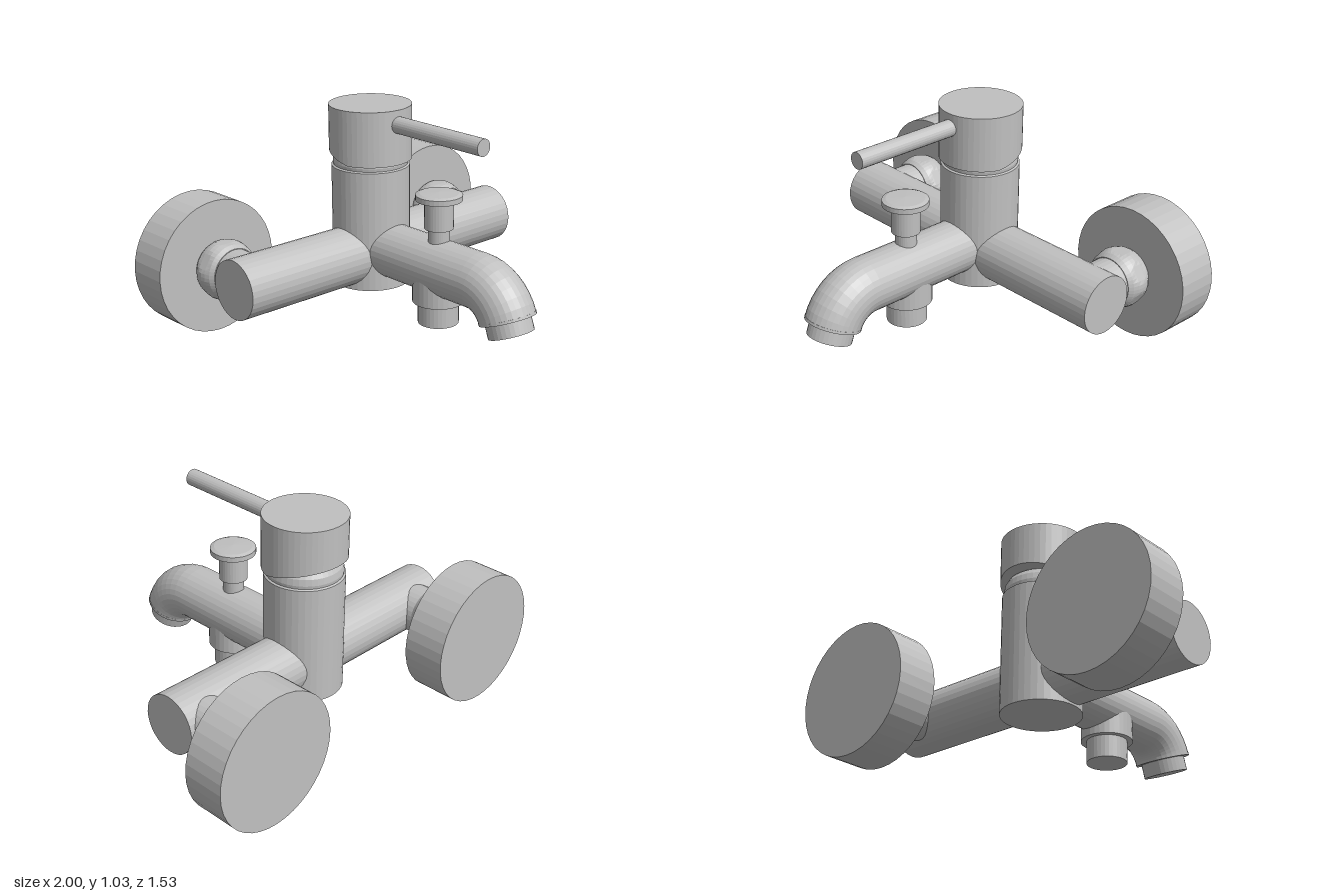
import * as THREE from 'three';

export function createModel() {
  const model = new THREE.Group();
  const chrome = new THREE.MeshStandardMaterial({ color: 0xc0c0c0 });
  const V = (x, y, z) => new THREE.Vector3(x, y, z);
  const UP = V(0, 1, 0);

  // Adds a mesh with crisp facets
  function add(name, geometry, parent = model) {
    const g = geometry.index ? geometry.toNonIndexed() : geometry;
    g.computeVertexNormals();
    const mesh = new THREE.Mesh(g, chrome);
    mesh.name = name;
    parent.add(mesh);
    return mesh;
  }

  // Closed cylinder running from point a to point b
  function rod(name, a, b, r, segments = 32, parent = model) {
    const dir = b.clone().sub(a);
    const mesh = add(name, new THREE.CylinderGeometry(r, r, dir.length(), segments), parent);
    mesh.position.copy(a).add(b).multiplyScalar(0.5);
    mesh.quaternion.setFromUnitVectors(UP, dir.normalize());
    return mesh;
  }

  function lathe(name, points, segments = 32, parent = model) {
    const profile = points.map(([r, y]) => new THREE.Vector2(r, y));
    return add(name, new THREE.LatheGeometry(profile, segments), parent);
  }

  const barY = 0.32, barZ = -0.255;

  // Cross bar and vertical valve body
  rod('crossBar', V(-0.817, barY, barZ), V(0.817, barY, barZ), 0.14);
  lathe('valveBody', [
    [0, 0.17], [0.185, 0.17], [0.185, 0.745], [0.176, 0.75], [0.178, 0.765],
    [0.173, 0.795], [0.158, 0.82], [0.13, 0.84], [0, 0.86],
  ], 40).position.z = barZ;

  // Handle cap: underside is level in front and rises towards the back
  const cap = new THREE.CylinderGeometry(0.195, 0.195, 0.26, 48);
  const p = cap.attributes.position;
  for (let i = 0; i < p.count; i++) {
    if (p.getY(i) < 0) p.setY(i, -0.13 + Math.max(0, (-p.getZ(i) + 0.055) * 0.26));
  }
  add('handleCap', cap).position.set(0, 0.905, barZ);
  rod('lever', V(0, 0.965, -0.2), V(0, 0.965, 0.475), 0.04, 24);

  // Spout: straight run, bend, end collar and aerator
  const spoutY = 0.35, bendZ = 0.454, bendR = 0.195, tubeR = 0.13;
  const turn = THREE.MathUtils.degToRad(70);
  rod('spoutTube', V(0, spoutY, barZ), V(0, spoutY, bendZ), tubeR);
  const bend = new THREE.TorusGeometry(bendR, tubeR, 32, 8, turn);
  bend.applyMatrix4(new THREE.Matrix4().makeBasis(V(0, 1, 0), V(0, 0, 1), V(1, 0, 0)));
  add('spoutBend', bend).position.set(0, spoutY - bendR, bendZ);
  const end = V(0, spoutY - bendR + bendR * Math.cos(turn), bendZ + bendR * Math.sin(turn));
  const out = V(0, -Math.sin(turn), Math.cos(turn));
  const along = (d) => end.clone().addScaledVector(out, d);
  rod('spoutCollar', along(-0.01), along(0.003), 0.131);
  rod('aerator', along(-0.02), along(0.07), 0.105);

  // Diverter knob on top of the spout
  const diverterZ = 0.205;
  lathe('diverterKnob', [
    [0, 0.44], [0.05, 0.44], [0.05, 0.535], [0.067, 0.535], [0.067, 0.67],
    [0.108, 0.67], [0.108, 0.695], [0.09, 0.702], [0, 0.707],
  ]).position.z = diverterZ;

  // Shower outlet below the spout
  lathe('showerOutlet', [
    [0, 0.08], [0.095, 0.08], [0.095, 0.185], [0.121, 0.185], [0.121, 0.32], [0, 0.32],
  ]).position.z = diverterZ;

  // Wall connections on both sides
  for (const side of [-1, 1]) {
    const group = new THREE.Group();
    group.name = side > 0 ? 'leftWallConnection' : 'rightWallConnection';
    group.position.set(side * 0.683, barY, 0);
    model.add(group);
    rod('connectorPipe', V(0, 0, barZ), V(0, 0, -0.57), 0.115, 32, group);
    rod('wallFlange', V(0, 0, -0.765), V(0, 0, -0.56), 0.317, 40, group);

    // Rounded nut with six flats
    const profile = [
      [0, -0.07], [0.118, -0.07], [0.132, -0.048], [0.14, -0.022], [0.143, 0],
      [0.14, 0.022], [0.132, 0.048], [0.118, 0.07], [0, 0.07],
    ].map(([r, y]) => new THREE.Vector2(r, y));
    const nut = new THREE.LatheGeometry(profile, 48);
    const q = nut.attributes.position;
    for (let i = 0; i < q.count; i++) {
      const x = q.getX(i), z = q.getZ(i), r = Math.hypot(x, z);
      if (r < 0.01) continue;
      // Angle from the nearest flat's centre
      const step = Math.PI / 3, a = Math.atan2(z, x) - Math.PI / 2;
      const offset = a - Math.round(a / step) * step;
      const s = Math.min(1, 0.134 / Math.cos(offset) / r);
      q.setX(i, x * s);
      q.setZ(i, z * s);
    }
    nut.rotateX(Math.PI / 2);
    add('unionNut', nut, group).position.z = -0.492;
  }

  return model;
}
